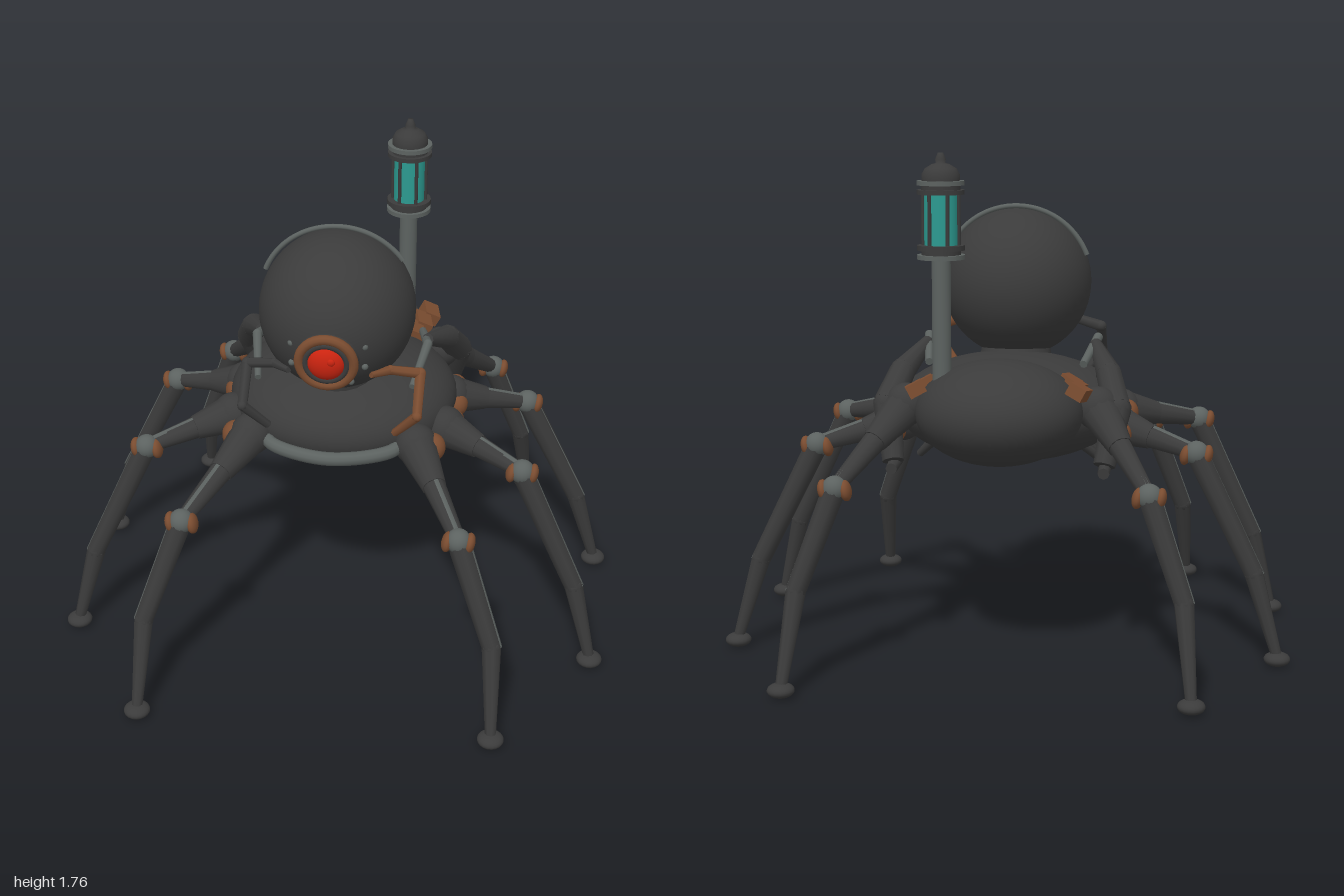
import * as THREE from 'three';

const mat = (name, color, extra = {}) => new THREE.MeshStandardMaterial({ name, color, ...extra });

export function createModel() {
  const root = new THREE.Group();
  root.name = 'mechanicalSpider';
  const dark = mat('dark iron', 0x3b3b3b);
  const steel = mat('grey steel', 0x5c6260);
  const copper = mat('aged copper', 0x7a4c30);
  const red = mat('red lens', 0xcc2410);
  const teal = mat('teal glass', 0x2c9a90);
  const V = (p) => new THREE.Vector3(...p);

  function add(parent, name, geo, material, pos = [0, 0, 0]) {
    const m = new THREE.Mesh(geo, material);
    m.name = name;
    m.position.set(...pos);
    parent.add(m);
    return m;
  }
  function ball(parent, name, pos, r, material, scale = [1, 1, 1], seg = 20) {
    const m = add(parent, name, new THREE.SphereGeometry(r, seg, Math.round(seg * 0.7)), material, pos);
    m.scale.set(...scale);
    return m;
  }
  // Tapered rod from a to b
  function rod(parent, name, a, b, ra, rb, material, seg = 10) {
    const d = V(b).sub(V(a));
    const m = add(parent, name, new THREE.CylinderGeometry(rb, ra, d.length(), seg), material);
    m.position.copy(V(a)).addScaledVector(d, 0.5);
    m.quaternion.setFromUnitVectors(new THREE.Vector3(0, 1, 0), d.normalize());
    return m;
  }
  // Jointed chain of rods with a radius per point
  function chain(parent, name, pts, radii, material, seg = 10) {
    for (let i = 0; i < pts.length - 1; i++) {
      rod(parent, name, pts[i], pts[i + 1], radii[i], radii[i + 1], material, seg);
      if (i) ball(parent, name + 'Joint', pts[i], radii[i], material, [1, 1, 1], 10);
    }
  }
  const mx = (s, p) => [s * p[0], p[1], p[2]];

  // Body, abdomen and head
  ball(root, 'thorax', [0, 0.855, -0.06], 1, dark, [0.41, 0.19, 0.4], 40);
  ball(root, 'abdomen', [0, 0.89, -0.41], 1, dark, [0.285, 0.18, 0.27], 40);
  ball(root, 'head', [0, 1.28, 0.12], 1, dark, [0.27, 0.272, 0.295], 48);
  rod(root, 'neck', [0, 0.95, 0.06], [0, 1.08, 0.1], 0.14, 0.12, dark, 20);

  // Band over the crown
  const band = add(root, 'crownBand', new THREE.TorusGeometry(0.272, 0.009, 8, 40, 2.15), steel, [-0.005, 1.285, 0.06]);
  band.rotation.z = 0.62;

  // Eye, tilted slightly downward
  const eye = new THREE.Group();
  eye.name = 'eye';
  eye.position.set(0, 1.225, 0.405);
  eye.rotation.x = 0.12;
  root.add(eye);
  const socket = add(eye, 'eyeSocket', new THREE.CylinderGeometry(0.095, 0.115, 0.05, 28), dark, [0, 0, -0.015]);
  socket.rotation.x = Math.PI / 2;
  add(eye, 'eyeRim', new THREE.TorusGeometry(0.092, 0.017, 10, 32), copper, [0, 0, 0.012]);
  add(eye, 'innerRim', new THREE.TorusGeometry(0.07, 0.012, 8, 28), dark, [0, 0, 0.014]);
  ball(eye, 'lens', [0, 0, 0.01], 0.065, red, [1, 1, 0.6], 24);
  ball(eye, 'lensGlint', [0.02, 0.022, 0.042], 0.014, red, [1, 1, 0.6], 10);
  for (let i = 0; i < 10; i++) {
    const a = (i + 0.5) * Math.PI / 5;
    ball(eye, 'eyeRivet', [Math.cos(a) * 0.13, Math.sin(a) * 0.13, -0.035], 0.012, steel, [1, 1, 1], 8);
  }

  // Curved front bumper
  const bumper = new THREE.CatmullRomCurve3([[-0.25, 0.83, 0.24], [-0.2, 0.825, 0.31], [0, 0.82, 0.37], [0.2, 0.825, 0.31], [0.25, 0.83, 0.24]].map(V));
  add(root, 'frontBumper', new THREE.TubeGeometry(bumper, 24, 0.024, 10), steel);

  // Legs: hip, knee, shin bend, foot
  const legs = [
    { name: 'frontLeg', hip: [0.29, 0.83, 0.25], knee: [0.47, 0.69, 0.62], bend: [0.6, 0.33, 0.71], foot: [0.615, 0.03, 0.825] },
    { name: 'frontMiddleLeg', hip: [0.38, 0.82, 0.1], knee: [0.665, 0.76, 0.27], bend: [0.87, 0.32, 0.305], foot: [0.945, 0.03, 0.34] },
    { name: 'rearMiddleLeg', hip: [0.38, 0.81, -0.15], knee: [0.665, 0.735, -0.265], bend: [0.87, 0.32, -0.29], foot: [0.955, 0.03, -0.31] },
    { name: 'rearLeg', hip: [0.33, 0.9, -0.35], knee: [0.52, 0.665, -0.645], bend: [0.64, 0.33, -0.72], foot: [0.67, 0.03, -0.83] },
  ];
  for (const s of [1, -1]) {
    for (const l of legs) {
      const g = new THREE.Group();
      g.name = (s > 0 ? 'left' : 'right') + l.name[0].toUpperCase() + l.name.slice(1);
      root.add(g);
      const [hip, knee, bend, foot] = [l.hip, l.knee, l.bend, l.foot].map((p) => mx(s, p));
      const mid = V(hip).lerp(V(knee), 0.45).toArray();
      ball(g, 'hip', hip, 0.075, dark);
      rod(g, 'upperLeg', hip, mid, 0.072, 0.043, dark, 12);
      rod(g, 'upperLegSleeve', mid, knee, 0.04, 0.026, dark, 10);
      const up = (p, y) => [p[0], p[1] + y, p[2]];
      rod(g, 'upperLegStrut', up(mid, 0.03), up(knee, 0.018), 0.014, 0.012, steel, 6);
      ball(g, 'knee', knee, 0.043, steel);
      for (const k of [1, -1]) {
        const cap = ball(g, 'kneeCap', [knee[0] + k * 0.037, knee[1] - 0.006, knee[2]], 0.036, copper, [0.55, 1, 1], 16);
        cap.rotation.z = -s * 0.2;
      }
      chain(g, 'shin', [knee, bend, foot], [0.04, 0.034, 0.019], dark, 8);
      const out = (p, r) => [p[0] + s * r, p[1], p[2]];
      rod(g, 'shinStrut', out(knee, 0.03), out(bend, 0.025), 0.012, 0.012, steel, 6);
      ball(g, 'foot', [foot[0], 0.025, foot[2]], 0.046, dark, [1, 0.54, 1], 18);
    }

    // Copper hip bearings
    for (const p of [[0.35, 0.82, 0.245], [0.405, 0.815, 0.06], [0.405, 0.795, -0.115], [0.395, 0.79, -0.24]])
      ball(root, 'hipBearing', mx(s, p), 0.05, copper, [0.9, 1, 1], 16);

    // Folded arm: thin steel forearm and heavy rear strut
    chain(root, 'forearm', [[0.27, 1.03, 0.2], [0.305, 1.095, 0], [0.27, 1.03, -0.22]].map((p) => mx(s, p)), [0.012, 0.017, 0.014], steel, 8);
    chain(root, 'rearStrut', [[0.3, 1.08, -0.06], [0.36, 1.0, -0.24], [0.395, 0.9, -0.35], [0.36, 0.72, -0.44]].map((p) => mx(s, p)), [0.022, 0.045, 0.05, 0.038], dark);
    rod(root, 'strutFoot', mx(s, [0.36, 0.715, -0.36]), mx(s, [0.36, 0.7, -0.48]), 0.025, 0.02, dark, 8);

    // Copper plates along the abdomen
    [[0.275, 0.975, -0.47], [0.255, 0.982, -0.385], [0.235, 0.985, -0.31]].forEach((p, i) => {
      const plate = add(root, 'abdomenPlate', new THREE.BoxGeometry(0.06, 0.045 - i * 0.007, 0.085), copper, mx(s, p));
      plate.rotation.set(0.12, s * 0.2, -s * 0.5);
    });

    // Ribs under the body
    for (let i = 0; i < 6; i++) {
      const z = 0.15 - i * 0.06;
      rod(root, 'rib', mx(s, [0.26, 0.745, z - 0.03]), mx(s, [0.32, 0.685, z + 0.015]), 0.018, 0.014, dark, 8);
    }

    // Feeler arm beside the eye
    chain(root, 'feeler', [[0.14, 1.14, 0.33], [0.2, 1.13, 0.27], [0.3, 1.105, 0.235], [0.3, 1.0, 0.35], [0.22, 0.9, 0.3]].map((p) => mx(s, p)),
      [0.012, 0.017, 0.02, 0.018, 0.014], s > 0 ? copper : dark, 6);
  }

  // Lantern on a pole
  const lantern = new THREE.Group();
  lantern.name = 'lantern';
  lantern.position.set(0.19, 0, -0.44);
  root.add(lantern);
  const disc = (name, r, y0, y1, m) => rod(lantern, name, [0, y0, 0], [0, y1, 0], r, r, m, 24);
  disc('pole', 0.032, 0.95, 1.41, steel);
  disc('baseDisc', 0.08, 1.41, 1.425, steel);
  disc('baseCollar', 0.066, 1.425, 1.44, dark);
  disc('baseRing', 0.08, 1.44, 1.457, dark);
  disc('glass', 0.056, 1.455, 1.63, teal);
  disc('topRing', 0.08, 1.625, 1.64, dark);
  disc('topCollar', 0.066, 1.64, 1.655, dark);
  disc('topDisc', 0.08, 1.655, 1.67, steel);
  const dome = [[0.064, 1.67], [0.064, 1.69], [0.053, 1.71], [0.03, 1.724], [0.016, 1.728], [0.018, 1.74], [0.009, 1.762], [0, 1.762]];
  add(lantern, 'domeCap', new THREE.LatheGeometry(dome.map((p) => new THREE.Vector2(...p)), 24), dark);
  for (let i = 0; i < 6; i++) {
    const a = i * Math.PI / 3;
    const [x, z] = [Math.cos(a) * 0.06, Math.sin(a) * 0.06];
    rod(lantern, 'cageBar', [x, 1.45, z], [x, 1.63, z], 0.007, 0.007, dark, 6);
  }
  return root;
}
